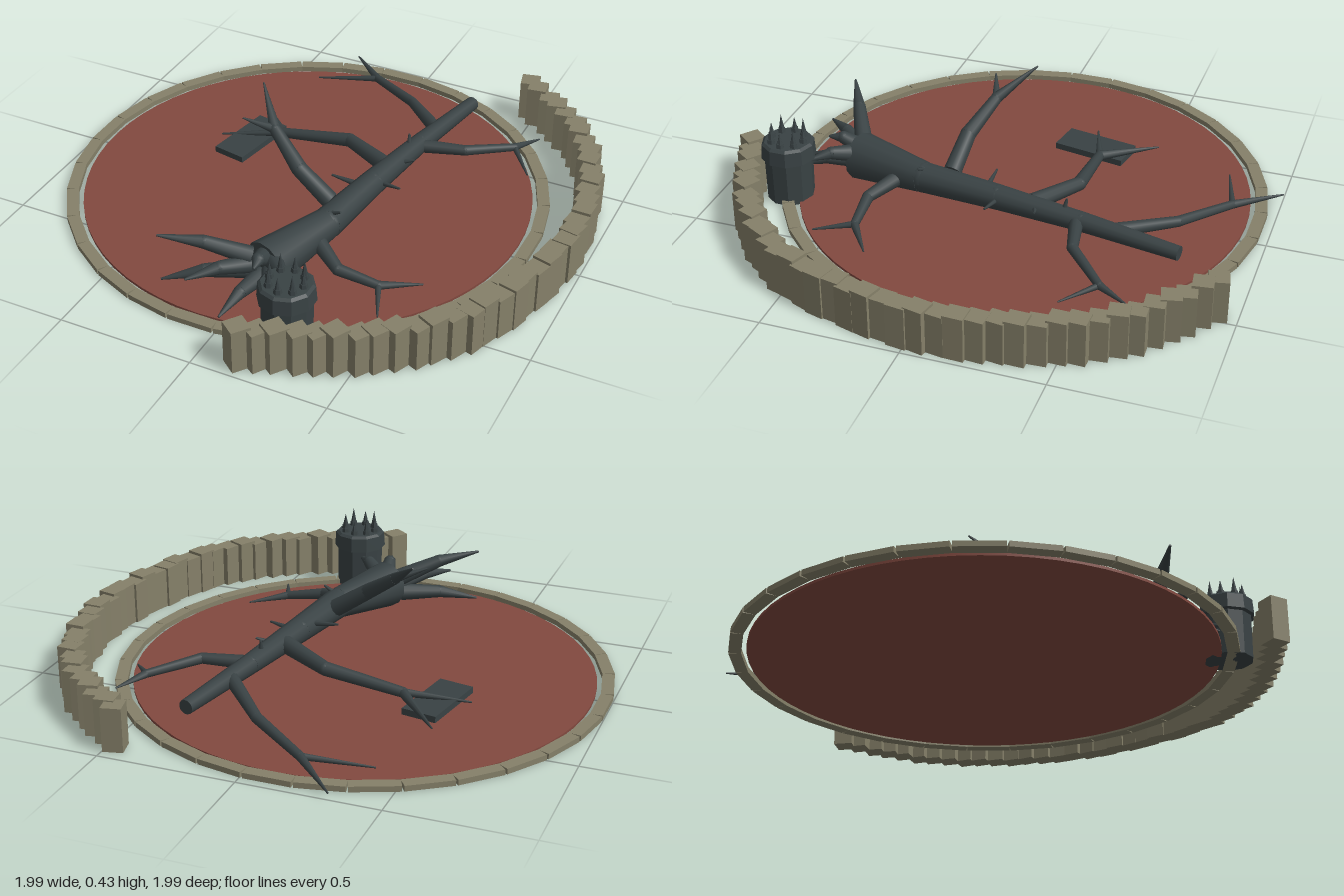
import * as THREE from 'three';

const mat = (color, flatShading = false) => new THREE.MeshStandardMaterial({ color, flatShading });
const V = (p) => new THREE.Vector3(...p);

export function createModel() {
  const model = new THREE.Group();
  const bark = mat(0x394244), barkFlat = mat(0x394244, true);
  const stone = mat(0x858069, true), earth = mat(0x82493f);
  const CX = -0.095, CZ = -0.065;

  const add = (parent, name, geometry, material, x = 0, y = 0, z = 0) => {
    const mesh = new THREE.Mesh(geometry, material);
    mesh.name = name;
    mesh.position.set(x, y, z);
    parent.add(mesh);
    return mesh;
  };

  // Tapered round section between two points
  const section = (parent, name, a, b, ra, rb, sides = 12) => {
    const p = V(a), q = V(b), d = q.clone().sub(p), mid = p.clone().add(q).multiplyScalar(0.5);
    const mesh = add(parent, name, new THREE.CylinderGeometry(rb, ra, d.length(), sides), bark, mid.x, mid.y, mid.z);
    mesh.quaternion.setFromUnitVectors(new THREE.Vector3(0, 1, 0), d.normalize());
    return mesh;
  };

  // Chain of sections with rounded joints
  const limb = (parent, name, points, radii) => {
    for (let i = 0; i < points.length - 1; i++) {
      section(parent, name, points[i], points[i + 1], radii[i], radii[i + 1]);
      if (i > 0) add(parent, name + 'Joint', new THREE.SphereGeometry(radii[i], 12, 8), bark, ...points[i]);
    }
  };

  // Round earth bed
  add(model, 'earthBed', new THREE.CylinderGeometry(0.842, 0.842, 0.01, 64), earth, CX, 0.005, CZ);

  // Ring of edging stones
  const ring = new THREE.Group();
  ring.name = 'edgingRing';
  model.add(ring);
  for (let i = 0; i < 32; i++) {
    const a = (i / 32) * Math.PI * 2;
    const tile = add(ring, 'edgingStone', new THREE.BoxGeometry(0.045, 0.02, 0.17), stone,
      CX + Math.cos(a) * 0.88, 0.01, CZ + Math.sin(a) * 0.88);
    tile.rotation.y = -a;
  }

  // Curved low wall of overlapping upright blocks
  const wall = new THREE.Group();
  wall.name = 'curvedWall';
  model.add(wall);
  const wallPath = new THREE.CatmullRomCurve3([
    [0.47, 0, -0.925], [0.745, 0, -0.69], [0.885, 0, -0.43], [0.945, 0, -0.08],
    [0.90, 0, 0.22], [0.79, 0, 0.51], [0.64, 0, 0.68], [0.47, 0, 0.80], [0.14, 0, 0.935],
  ].map(V));
  const blocks = 38;
  for (let i = 0; i < blocks; i++) {
    const t = i / (blocks - 1), p = wallPath.getPointAt(t);
    const h = 0.161 + 0.006 * Math.sin(i * 2.4);
    const jitter = 0.006 * Math.sin(i * 4.1);
    const block = add(wall, 'wallBlock', new THREE.BoxGeometry(0.072, h, 0.072), stone, p.x + jitter, h / 2, p.z);
    block.rotation.y = -THREE.MathUtils.degToRad(-13 + 50 * t + 4 * Math.sin(i * 1.7));
  }

  // Fallen trunk
  const tree = new THREE.Group();
  tree.name = 'fallenTree';
  model.add(tree);
  limb(tree, 'trunk',
    [[0.04, 0.098, 0.54], [0.135, 0.115, 0.25], [0.175, 0.115, -0.05], [0.225, 0.11, -0.38], [0.293, 0.1, -0.75]],
    [0.09, 0.058, 0.048, 0.037, 0.027]);

  // Forked branches: stem points, then two tips
  const branches = [
    { stem: [[0.25, 0.11, -0.49], [0.06, 0.075, -0.69], [-0.16, 0.045, -0.84]], r: [0.027, 0.02, 0.016],
      tips: [[-0.32, 0.025, -1.0], [-0.4, 0.02, -0.78]] },
    { stem: [[0.17, 0.115, -0.18], [-0.03, 0.1, -0.295], [-0.32, 0.055, -0.29]], r: [0.033, 0.026, 0.019],
      tips: [[-0.49, 0.035, -0.48], [-0.55, 0.025, -0.22]] },
    { stem: [[0.1, 0.14, 0.15], [-0.03, 0.23, 0.135], [-0.16, 0.325, 0.07]], r: [0.034, 0.03, 0.022],
      tips: [[-0.27, 0.425, -0.055], [-0.27, 0.365, 0.11]] },
    { stem: [[0.14, 0.105, 0.34], [0.26, 0.07, 0.42], [0.41, 0.045, 0.41]], r: [0.03, 0.022, 0.016],
      tips: [[0.54, 0.03, 0.32], [0.47, 0.03, 0.55]] },
    { stem: [[0.24, 0.11, -0.365], [0.4, 0.115, -0.4], [0.55, 0.09, -0.54]], r: [0.026, 0.02, 0.015],
      tips: [[0.61, 0.075, -0.655], [0.645, 0.06, -0.425]] },
  ];
  for (const { stem, r, tips } of branches) {
    const branch = new THREE.Group();
    branch.name = 'branch';
    tree.add(branch);
    limb(branch, 'branchStem', stem, r);
    const fork = stem[stem.length - 1], rf = r[r.length - 1];
    add(branch, 'forkJoint', new THREE.SphereGeometry(rf, 12, 8), bark, ...fork);
    tips.forEach((tip, i) => section(branch, 'twig', fork, tip, rf * (i ? 0.8 : 1), 0.003, 8));
  }

  // Short broken twigs on the trunk
  [
    [[0.21, 0.13, -0.31], [0.205, 0.18, -0.32]], [[0.19, 0.12, -0.06], [0.29, 0.13, -0.04]],
    [[0.14, 0.13, 0.0], [0.035, 0.14, 0.0]], [[0.13, 0.15, 0.24], [0.19, 0.18, 0.25]],
    [[0.2, 0.12, -0.2], [0.27, 0.14, -0.22]],
  ].forEach(([a, b]) => section(tree, 'brokenTwig', a, b, 0.012, 0.004, 6));

  // Splayed roots at the trunk base
  [
    [[-0.01, 0.13, 0.55], [-0.29, 0.225, 0.7]], [[-0.02, 0.07, 0.55], [-0.29, 0.03, 0.69]],
    [[0.0, 0.1, 0.55], [-0.16, 0.11, 0.745]], [[0.03, 0.06, 0.55], [-0.01, 0.03, 0.785]],
    [[0.04, 0.14, 0.55], [0.06, 0.17, 0.66]], [[0.07, 0.1, 0.55], [0.14, 0.08, 0.74]],
    [[0.08, 0.13, 0.55], [0.2, 0.14, 0.68]],
  ].forEach(([a, b]) => {
    const m = a.map((v, k) => v * 0.5 + b[k] * 0.5 + (k === 1 ? 0.015 : 0));
    limb(tree, 'root', [a, m, b], [0.034, 0.024, 0.004]);
  });

  // Standing stump with a splintered crown
  const stump = new THREE.Group();
  stump.name = 'stump';
  stump.position.set(0.23, 0, 0.745);
  model.add(stump);
  const profile = [[0, 0], [0.088, 0], [0.09, 0.165], [0.102, 0.17], [0.098, 0.225], [0.088, 0.234], [0, 0.234]];
  add(stump, 'stumpBody', new THREE.LatheGeometry(profile.map((p) => new THREE.Vector2(...p)), 10), barkFlat);
  for (let i = 0; i < 8; i++) {
    const a = (i / 8) * Math.PI * 2, h = 0.06 + 0.012 * (i % 2);
    const x = Math.cos(a) * 0.063, z = Math.sin(a) * 0.063;
    add(stump, 'splinterBase', new THREE.CylinderGeometry(0.013, 0.016, 0.02, 6), barkFlat, x, 0.24, z);
    add(stump, 'splinter', new THREE.ConeGeometry(0.014, h, 6), barkFlat, x, 0.234 + h / 2, z);
  }

  // Flat blank plaque lying on the bed
  const plaque = add(model, 'plaque', new THREE.BoxGeometry(0.132, 0.024, 0.28), barkFlat, -0.433, 0.022, -0.243);
  plaque.rotation.y = -0.18;

  return model;
}
